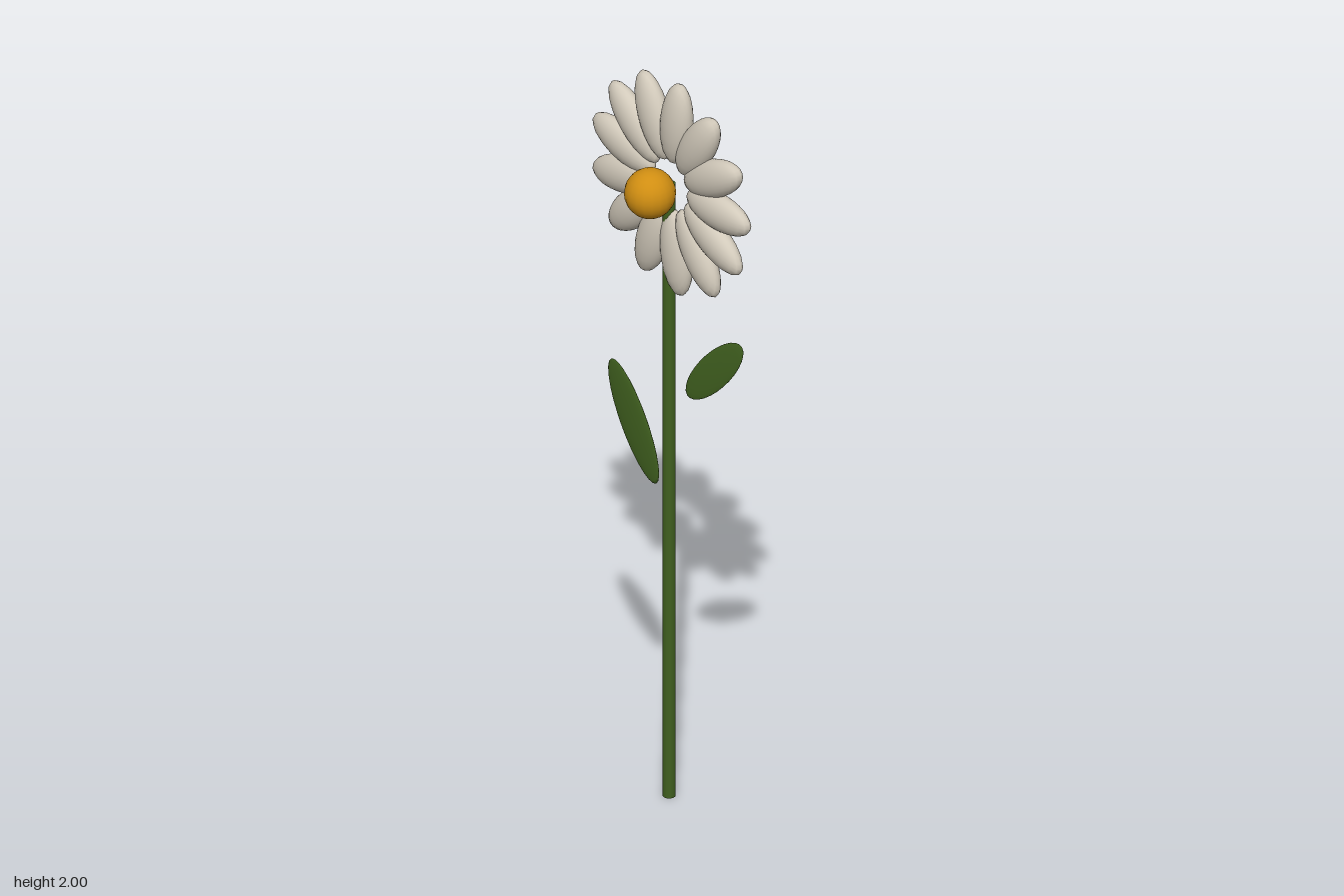
import * as THREE from 'three';

const mat = (name, color) => {
  const m = new THREE.MeshStandardMaterial({ color });
  m.name = name;
  return m;
};

export function createModel() {
  const flower = new THREE.Group();
  flower.name = 'flower';
  const petalWhite = mat('petalWhite', 0xd2cabb);
  const heartYellow = mat('heartYellow', 0xd08e12);
  const leafGreen = mat('leafGreen', 0x40601f);

  const ball = new THREE.SphereGeometry(1, 20, 14);
  const headX = -0.005, headY = 1.705;

  // A stretched ball: half sizes, position, turn in the front plane, backward tilt
  const ellipsoid = (name, material, size, position, turn = 0, tilt = 0) => {
    const mesh = new THREE.Mesh(ball, material);
    mesh.name = name;
    mesh.scale.set(...size);
    mesh.position.set(...position);
    mesh.rotation.set(0, tilt, turn, 'ZYX');
    flower.add(mesh);
  };

  // Stem
  const stem = new THREE.Mesh(new THREE.CylinderGeometry(0.016, 0.016, 1.71, 12), leafGreen);
  stem.name = 'stem';
  stem.position.set(-0.007, 0.855, -0.043);
  flower.add(stem);

  // Ring of thirteen petals, open in the middle
  const count = 13, ringRadius = 0.181;
  for (let i = 0; i < count; i++) {
    const a = (i / count) * Math.PI * 2;
    ellipsoid('petal', petalWhite, [0.116, 0.049, 0.033],
      [headX + ringRadius * Math.cos(a), headY + ringRadius * Math.sin(a), -0.047], a);
  }

  // Flower heart, sitting in front of the petals
  ellipsoid('heart', heartYellow, [0.064, 0.064, 0.064], [headX, headY, 0.02]);

  // Leaves
  ellipsoid('leftLeaf', leafGreen, [0.133, 0.045, 0.006], [0.135, 1.235, -0.068], 0.84, 0.1);
  ellipsoid('rightLeaf', leafGreen, [0.163, 0.055, 0.006], [-0.156, 0.979, -0.056], 2.175, 0.04);

  return flower;
}
